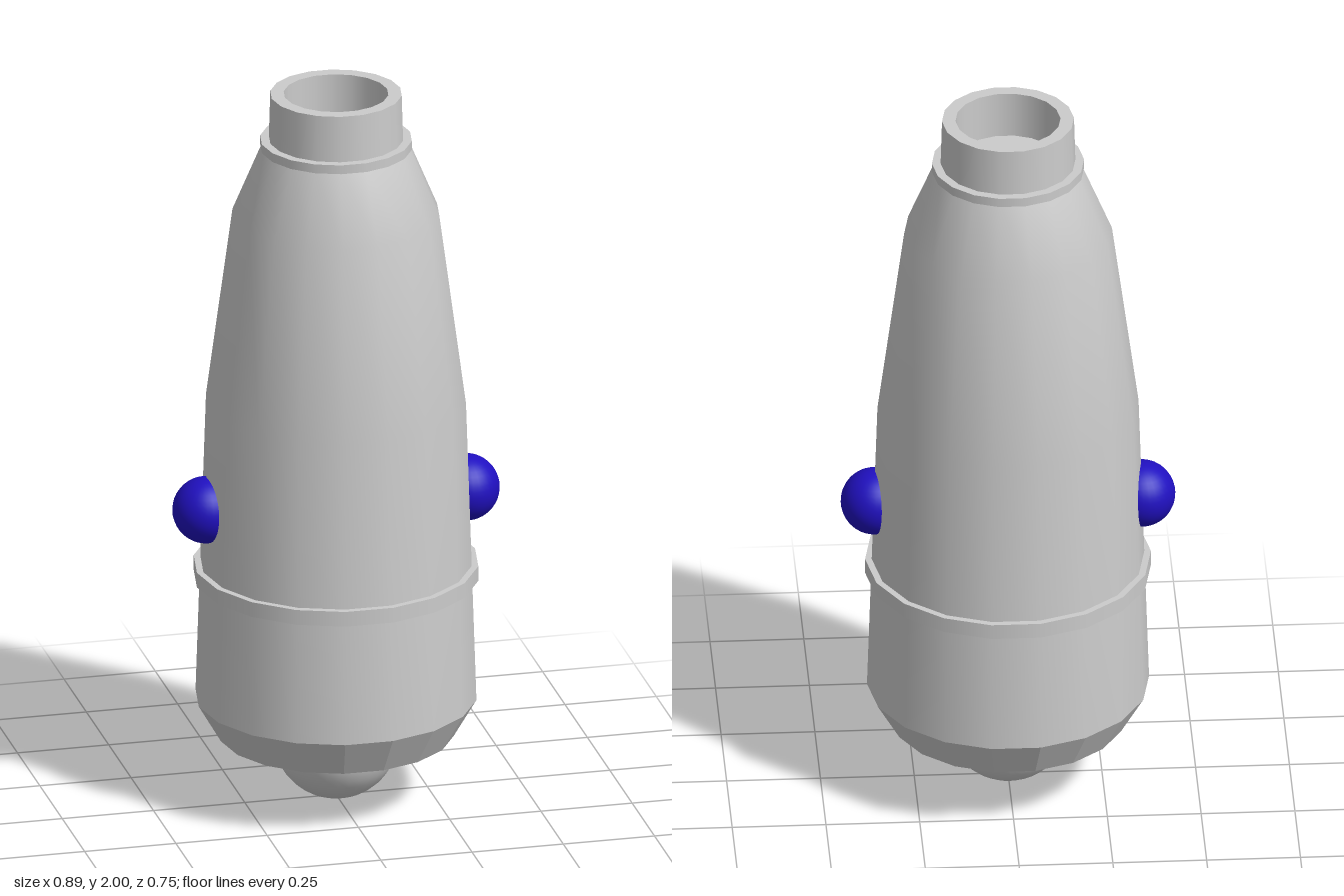
import * as THREE from 'three';

const SIDES = 18;

// Turned part with a vertex on the +x axis; profile is a list of [radius, y]
function turned(name, profile, flat = false) {
  const points = profile.map(([r, y]) => new THREE.Vector2(r, y));
  const geometry = new THREE.LatheGeometry(points, SIDES, Math.PI / 2);
  const mesh = new THREE.Mesh(geometry, new THREE.MeshStandardMaterial({
    color: 0xcccccc, flatShading: flat, side: THREE.DoubleSide,
  }));
  mesh.name = name;
  return mesh;
}

function ball(name, radius, x, y, color) {
  const mesh = new THREE.Mesh(
    new THREE.SphereGeometry(radius, 32, 20),
    new THREE.MeshStandardMaterial({ color }),
  );
  mesh.name = name;
  mesh.position.set(x, y, 0);
  return mesh;
}

// Raised band with square edges
function band(name, radius, y0, y1) {
  const geometry = new THREE.CylinderGeometry(radius, radius, y1 - y0, SIDES, 1, false, Math.PI / 2);
  const mesh = new THREE.Mesh(geometry, new THREE.MeshStandardMaterial({ color: 0xcccccc }));
  mesh.name = name;
  mesh.position.y = (y0 + y1) / 2;
  return mesh;
}

export function createModel() {
  const model = new THREE.Group();
  model.name = 'capsule';

  // Tapering shell and its faceted base
  model.add(turned('body', [[0.376, 0.285], [0.348, 1.13], [0.277, 1.66], [0.196, 1.855]]));
  model.add(turned('baseChamfer', [[0, 0.18], [0.315, 0.18], [0.376, 0.285]], true));

  // Bands around the waist and the neck
  model.add(band('waistBand', 0.381, 0.625, 0.667));
  model.add(band('neckBand', 0.203, 1.847, 1.872));

  // Hollow neck: outer wall, flat rim, bore and bore floor
  model.add(turned('neckWall', [[0.18, 1.86], [0.176, 2]]));
  model.add(turned('neckRim', [[0.176, 2], [0.14, 2]]));
  model.add(turned('neckBore', [[0.14, 2], [0.14, 1.872]]));

  // Round tip below, and a blue stud on each side
  model.add(ball('bottomBall', 0.168, 0, 0.168, 0xcccccc));
  for (const side of [1, -1]) {
    model.add(ball(side > 0 ? 'leftStud' : 'rightStud', 0.09, side * 0.356, 0.845, 0x2010c0));
  }
  return model;
}
